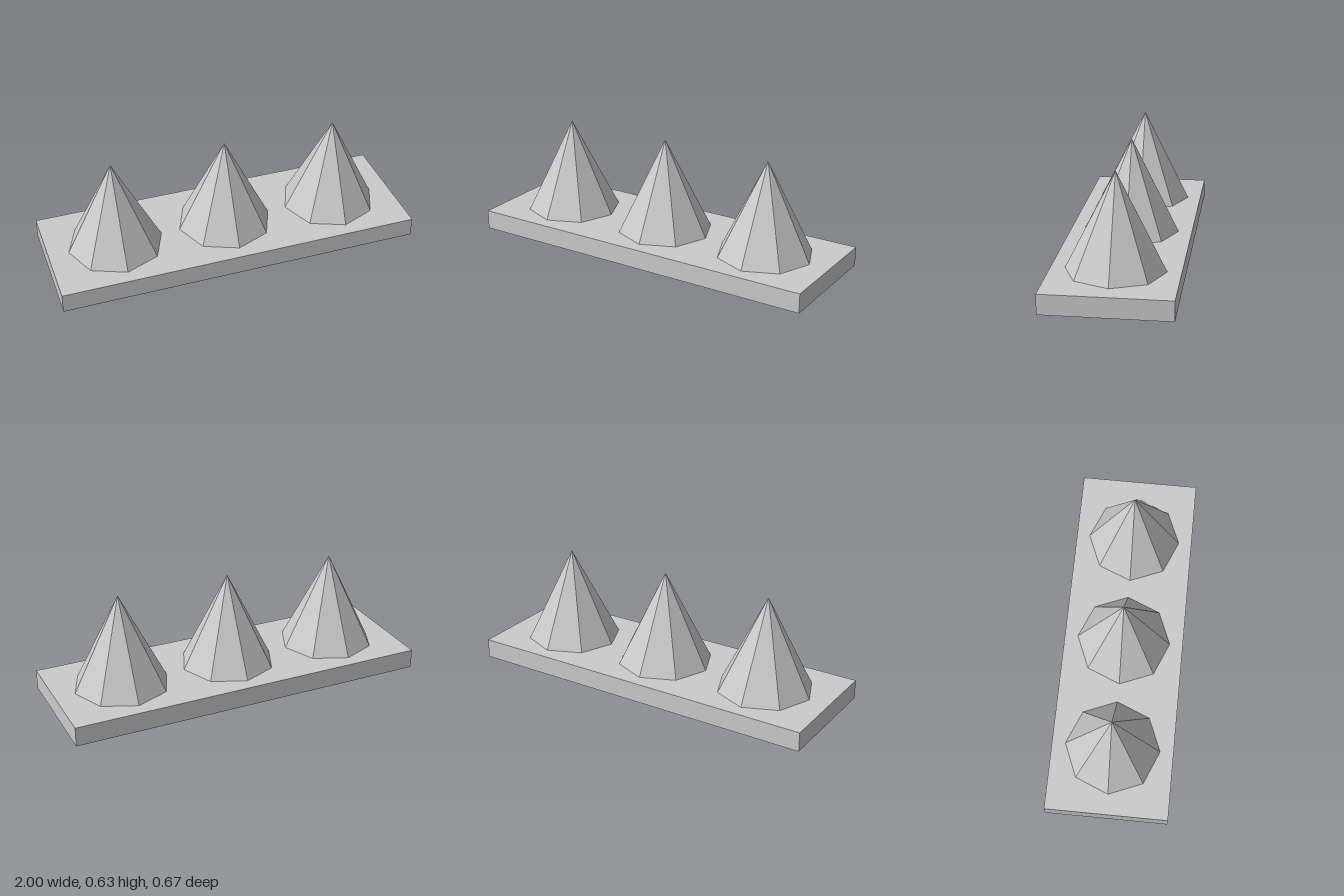
import * as THREE from 'three';

const BASE_HEIGHT = 0.107;
const SPIKE_HEIGHT = 0.52;
const SPIKE_RADIUS = 0.261;
const SPACING = 0.627;

export function createModel() {
  const model = new THREE.Group();
  model.name = 'spikeStrip';
  const material = new THREE.MeshStandardMaterial({ color: 0xcccccc, flatShading: true });

  // Flat base plate
  const base = new THREE.Mesh(new THREE.BoxGeometry(2, BASE_HEIGHT, 0.67), material);
  base.name = 'basePlate';
  base.position.y = BASE_HEIGHT / 2;
  model.add(base);

  // Row of three eight-sided spikes standing on the plate
  const spikeGeometry = new THREE.ConeGeometry(SPIKE_RADIUS, SPIKE_HEIGHT, 8);
  ['rightSpike', 'middleSpike', 'leftSpike'].forEach((name, i) => {
    const spike = new THREE.Mesh(spikeGeometry, material);
    spike.name = name;
    spike.position.set((i - 1) * SPACING, BASE_HEIGHT + SPIKE_HEIGHT / 2, 0);
    model.add(spike);
  });

  return model;
}
